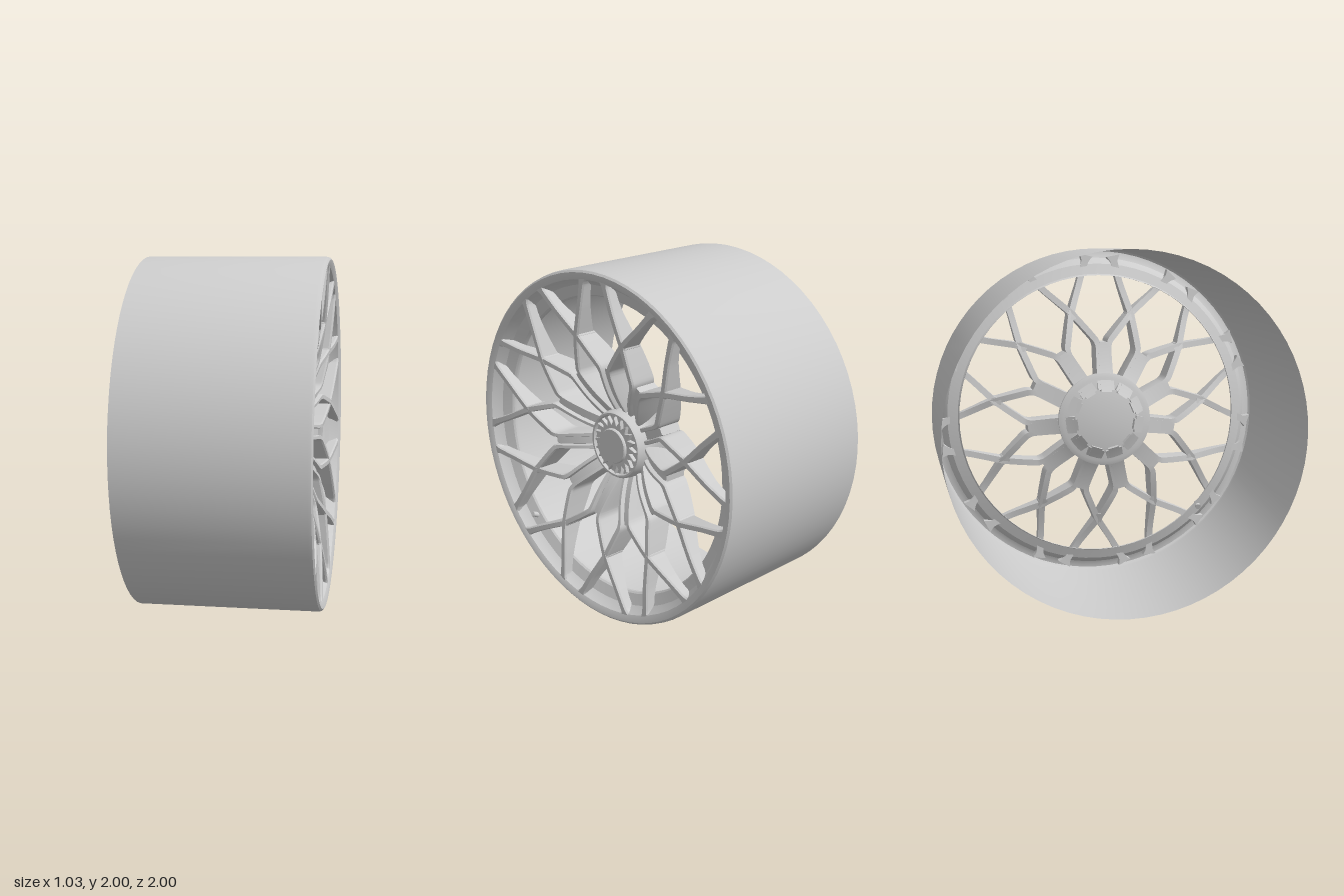
import * as THREE from 'three';
import { toCreasedNormals } from 'three/addons/utils/BufferGeometryUtils.js';

const COUNT = 11;
const STEP = (Math.PI * 2) / COUNT;
const OFFSET = THREE.MathUtils.degToRad(1);
const mat = new THREE.MeshStandardMaterial({ color: 0xcccccc, side: THREE.DoubleSide });

// concave front face of the spokes and their depth, by distance from the axle
const frontAt = (r) => 0.315 + 0.2 * (1 - Math.exp(-(r - 0.18) / 0.28));
const depthAt = (r) => 0.16 - 0.1 * THREE.MathUtils.smoothstep(r, 0.45, 0.9);

// ring turned about the x axis from [radius, x] pairs
function turned(profile, segments, crease = 0.5) {
  const geo = new THREE.LatheGeometry(profile.map(([r, x]) => new THREE.Vector2(r, x)), segments);
  geo.rotateZ(-Math.PI / 2);
  return toCreasedNormals(geo, crease);
}

// bar swept along [radius, angle, sideways offset, half width] stations
function bar(stations, sink = 0, samples = 28) {
  const curve = new THREE.CatmullRomCurve3(stations.map(([r, a, off, w]) => new THREE.Vector3(
    r * Math.cos(a) - off * Math.sin(a), r * Math.sin(a) + off * Math.cos(a), w)), false, 'catmullrom', 0.2);
  const pos = [], index = [], n = 6;
  for (let i = 0; i <= samples; i++) {
    const p = curve.getPoint(i / samples);
    const t = curve.getTangent(i / samples);
    const len = Math.hypot(t.x, t.y);
    const ny = -t.y / len, nz = t.x / len, w = p.z;
    const r = Math.hypot(p.x, p.y);
    const f = frontAt(r) - sink, b = frontAt(r) - depthAt(r);
    const section = [[-w, b], [w, b], [w, f - 0.01], [w * 0.7, f], [-w * 0.7, f], [-w, f - 0.01]];
    for (const [o, x] of section) pos.push(x, p.x + ny * o, p.y + nz * o);
    if (i === samples) continue;
    for (let j = 0; j < n; j++) {
      const a = i * n + j, c = i * n + (j + 1) % n;
      index.push(a, c, c + n, a, c + n, a + n);
    }
  }
  const last = samples * n;
  for (let j = 1; j < n - 1; j++) index.push(0, j + 1, j, last, last + j, last + j + 1);
  const geo = new THREE.BufferGeometry();
  geo.setAttribute('position', new THREE.Float32BufferAttribute(pos, 3));
  geo.setIndex(index);
  return toCreasedNormals(geo, 0.45);
}

function add(parent, name, geo) {
  const mesh = new THREE.Mesh(geo, mat);
  mesh.name = name;
  parent.add(mesh);
  return mesh;
}

export function createModel() {
  const model = new THREE.Group();
  model.name = 'wheel';
  const wheel = new THREE.Group();
  wheel.name = 'wheelBody';
  wheel.position.y = 1;
  model.add(wheel);

  // open barrel with a flat front lip and sloped inner flange
  add(wheel, 'barrel', turned([
    [1, -0.515], [1, 0.488], [0.996, 0.505], [0.985, 0.514], [0.965, 0.51], [0.945, 0.5],
    [0.93, 0.47], [0.91, 0.445], [0.85, 0.42], [0.842, 0.41], [0.842, 0.395],
  ], 72));

  // hub body flaring towards the back
  add(wheel, 'hub', turned([
    [0, 0.19], [0.25, 0.19], [0.275, 0.2], [0.275, 0.225], [0.225, 0.26], [0.2, 0.3], [0.192, 0.36],
    [0.185, 0.372], [0.174, 0.372], [0.168, 0.355], [0, 0.355],
  ], 64));

  // centre cap
  add(wheel, 'centreCap', turned([
    [0.102, 0.35], [0.1, 0.385], [0.095, 0.392], [0, 0.392],
  ], 48));

  // toothed locking ring around the cap
  const teeth = 20, star = new THREE.Shape();
  for (let i = 0; i < teeth * 2; i++) {
    const r = i % 2 ? 0.118 : 0.162, a = (i * Math.PI) / teeth;
    star[i ? 'lineTo' : 'moveTo'](r * Math.cos(a), r * Math.sin(a));
  }
  star.closePath();
  star.holes.push(new THREE.Path().absarc(0, 0, 0.1, 0, Math.PI * 2, true));
  const starGeo = new THREE.ExtrudeGeometry(star, {
    depth: 0.016, bevelEnabled: true, bevelSize: 0.004, bevelThickness: 0.006, bevelSegments: 1, curveSegments: 24,
  });
  starGeo.rotateY(Math.PI / 2).translate(0.354, 0, 0);
  add(wheel, 'lockRing', starGeo);

  // rails: leave the hub in pairs, split, cross the neighbour's rail and run to the rim
  const rail = (s) => bar([
    [0.18, 0, s * 0.036, 0.013],
    [0.3, 0, s * 0.036, 0.012],
    [0.42, 0, s * 0.034, 0.013],
    [0.465, 0, s * 0.046, 0.017],
    [0.635, s * STEP / 2, -s * 0.004, 0.018],
    [0.8, s * (STEP / 2 + 0.128), 0, 0.018],
    [0.925, s * (STEP / 2 + 0.188), 0, 0.021],
    [0.962, s * (STEP / 2 + 0.2), 0, 0.04],
  ], 0, 40);
  const railLeft = rail(1), railRight = rail(-1);
  // recessed channel floor between a pair of rails
  const floor = bar([[0.17, 0, 0, 0.032], [0.3, 0, 0, 0.032], [0.42, 0, 0, 0.03], [0.45, 0, 0, 0.022]], 0.025, 12);
  // thickened crossing where two rails meet
  const joint = bar([[0.605, 0, 0, 0.014], [0.635, 0, 0, 0.026], [0.67, 0, 0, 0.014]], 0.001, 6);

  for (let k = 0; k < COUNT; k++) {
    const spoke = new THREE.Group();
    spoke.name = 'spoke' + (k + 1);
    spoke.rotation.x = OFFSET + k * STEP;
    add(spoke, 'railLeft', railLeft);
    add(spoke, 'railRight', railRight);
    add(spoke, 'channelFloor', floor);
    add(spoke, 'crossing', joint).rotation.x = STEP / 2;
    wheel.add(spoke);
  }

  // valve stem on the flange
  const valve = new THREE.CylinderGeometry(0.014, 0.018, 0.05, 16);
  valve.rotateZ(-Math.PI / 2 + 0.4);
  const a = THREE.MathUtils.degToRad(133);
  add(wheel, 'valve', valve).position.set(0.44, 0.875 * Math.cos(a), 0.875 * Math.sin(a));

  return model;
}
